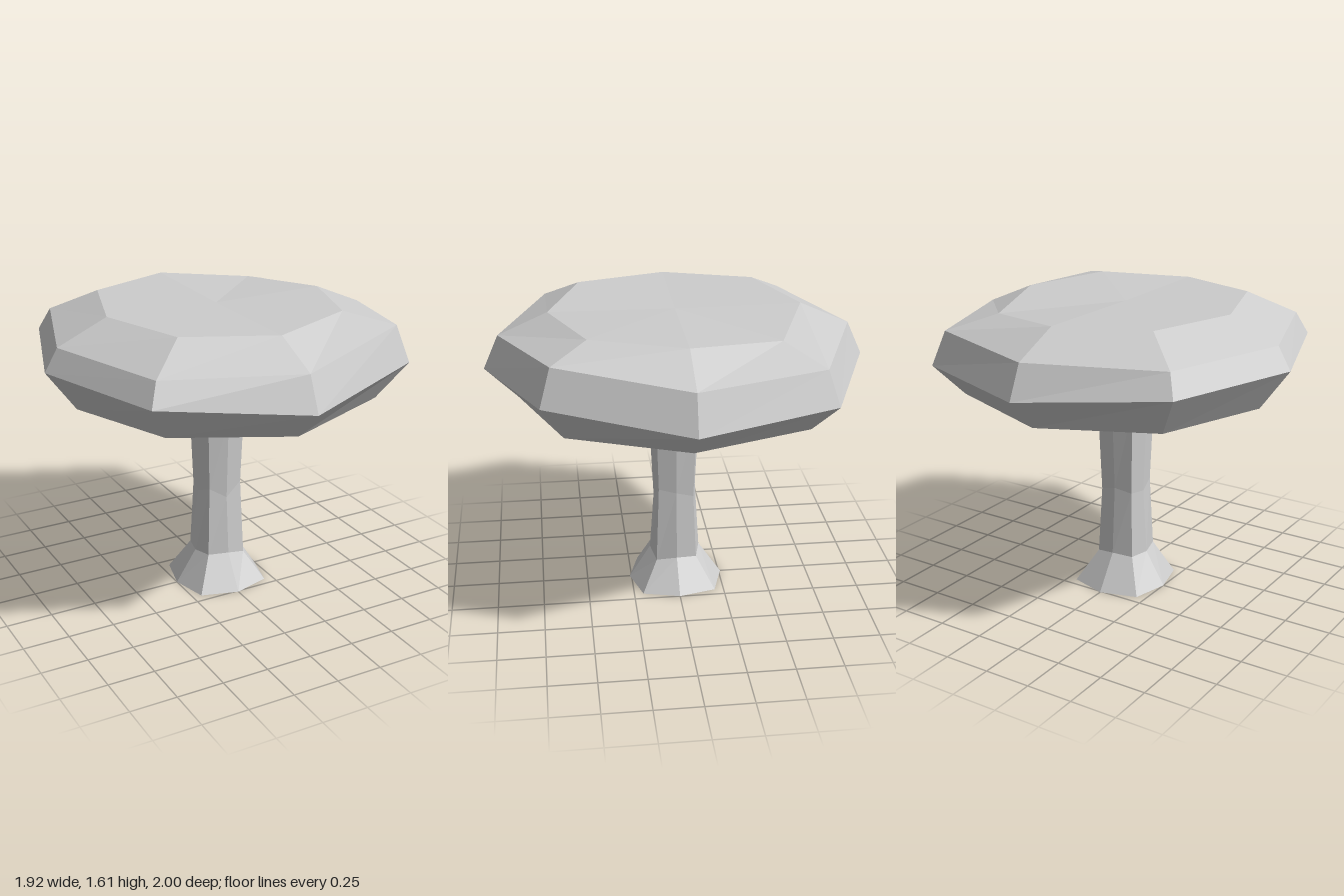
import * as THREE from 'three';

// Eight-sided ring. Corners run from +z round through +x.
// sx, sz: reach of the side corners; dx, dz: reach of the diagonal corners.
// heights: one value, or one per corner; oz shifts the ring along z.
function ring(sx, sz, dx, dz, heights, oz = 0) {
  const xs = [0, dx, sx, dx, 0, -dx, -sx, -dx];
  const zs = [sz, dz, 0, -dz, -sz, -dz, 0, dz];
  return xs.map((x, i) => [x, Array.isArray(heights) ? heights[i] : heights, zs[i] + oz]);
}

// Skin a stack of rings, optionally closing either end with a fan.
function loft(rings, bottomY = null, topY = null) {
  const pos = [];
  const tri = (...corners) => corners.forEach((p) => pos.push(...p));
  for (let i = 0; i < 8; i++) {
    const n = (i + 1) % 8;
    for (let j = 0; j < rings.length - 1; j++) {
      const a = rings[j], b = rings[j + 1];
      tri(a[i], a[n], b[n]);
      tri(a[i], b[n], b[i]);
    }
    const first = rings[0], last = rings[rings.length - 1];
    if (bottomY !== null) tri([0, bottomY, 0], first[n], first[i]);
    if (topY !== null) tri([0, topY, 0], last[i], last[n]);
  }
  const geometry = new THREE.BufferGeometry();
  geometry.setAttribute('position', new THREE.Float32BufferAttribute(pos, 3));
  geometry.computeVertexNormals();
  return geometry;
}

export function createModel() {
  const model = new THREE.Group();
  model.name = 'mushroom';
  const grey = new THREE.MeshStandardMaterial({ color: 0xcccccc, flatShading: true });
  grey.name = 'plain grey';

  const add = (name, geometry) => {
    const mesh = new THREE.Mesh(geometry, grey);
    mesh.name = name;
    model.add(mesh);
  };

  // Ring where the flared stem meets the underside of the cap
  const collar = ring(0.27, 0.27, 0.2, 0.2, 1.15);

  // Stem: splayed foot, narrow waist, flare under the cap
  add('stem', loft([
    ring(0.25, 0.26, 0.2, 0.2, 0),
    ring(0.135, 0.138, 0.11, 0.11, [0.19, 0.16, 0.18, 0.17, 0.19, 0.18, 0.18, 0.19], 0.005),
    ring(0.112, 0.115, 0.095, 0.095, [0.52, 0.59, 0.57, 0.54, 0.57, 0.55, 0.54, 0.58], 0.005),
    ring(0.13, 0.137, 0.11, 0.11, [1.0, 1.08, 1.045, 1.035, 1.04, 1.04, 1.0, 1.06], 0.005),
    collar,
  ], 0));

  // Cap: shallow hollow underside, uneven rim, nearly flat top
  add('cap', loft([
    collar,
    ring(0.47, 0.49, 0.36, 0.36, 1.185),
    ring(0.8, 0.83, 0.6, 0.61, [1.135, 1.155, 1.135, 1.14, 1.13, 1.15, 1.14, 1.165]),
    ring(0.96, 1, 0.72, 0.72, [1.3, 1.36, 1.28, 1.3, 1.305, 1.36, 1.36, 1.36]),
    ring(0.89, 0.92, 0.67, 0.665, [1.48, 1.55, 1.48, 1.48, 1.48, 1.48, 1.48, 1.48]),
    ring(0.62, 0.66, 0.465, 0.48, [1.595, 1.605, 1.597, 1.56, 1.597, 1.6, 1.6, 1.605]),
  ], null, 1.59));

  return model;
}
